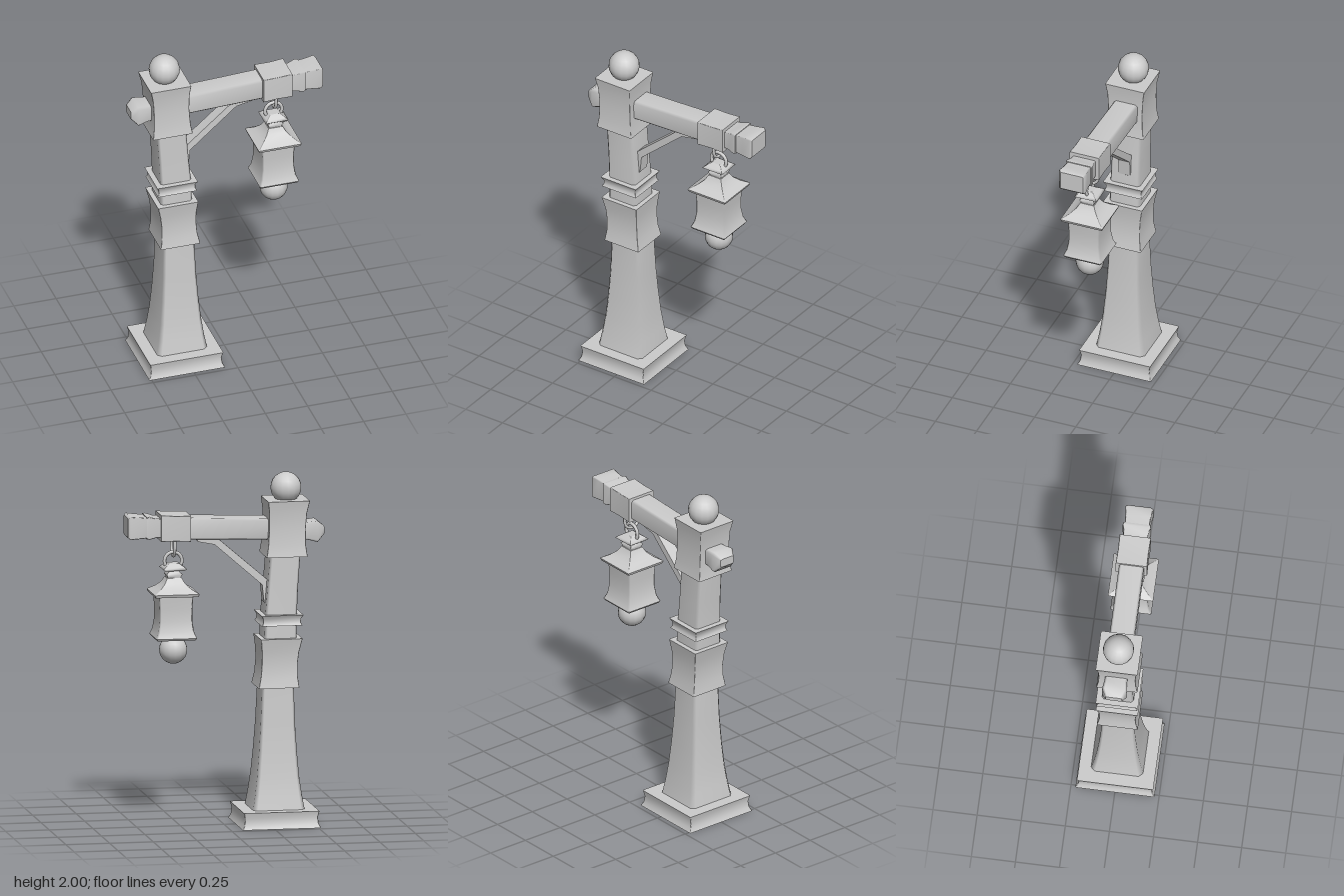
import * as THREE from 'three';

const material = new THREE.MeshStandardMaterial({ color: 0xcccccc, side: THREE.DoubleSide });

// Loft of bevelled square sections [position, centre, halfWidth, halfDepth = halfWidth].
// Runs up y with the centre in x, or along x with the centre in y.
function loftGeometry(sections, bevel, alongX) {
  const positions = [], index = [];
  const k = 1 - bevel;
  const corners = [[1, -k], [1, k], [k, 1], [-k, 1], [-1, k], [-1, -k], [-k, -1], [k, -1]];
  const n = corners.length;
  const addRing = ([u, c, ha, hb = ha]) => {
    for (const [a, b] of corners) {
      if (alongX) positions.push(u, c + a * ha, b * hb);
      else positions.push(c + a * ha, u, b * hb);
    }
  };
  const tri = (a, b, c) => (alongX ? index.push(a, c, b) : index.push(a, b, c));
  sections.forEach(addRing);
  for (let s = 0; s < sections.length - 1; s++) {
    for (let i = 0; i < n; i++) {
      const a = s * n + i, b = s * n + (i + 1) % n;
      tri(a, a + n, b);
      tri(b, a + n, b + n);
    }
  }
  // Caps on their own vertices, so their rims stay sharp
  const low = sections.length * n, high = low + n;
  addRing(sections[0]);
  addRing(sections[sections.length - 1]);
  for (let i = 1; i < n - 1; i++) {
    tri(low, low + i, low + i + 1);
    tri(high, high + i + 1, high + i);
  }
  const geometry = new THREE.BufferGeometry();
  geometry.setAttribute('position', new THREE.Float32BufferAttribute(positions, 3));
  geometry.setIndex(index);
  geometry.computeVertexNormals();
  return geometry;
}

export function createModel() {
  const model = new THREE.Group();
  model.name = 'hangingLanternPost';

  const add = (parent, name, geometry, x = 0, y = 0, z = 0) => {
    const mesh = new THREE.Mesh(geometry, material);
    mesh.name = name;
    mesh.position.set(x, y, z);
    parent.add(mesh);
    return mesh;
  };
  const group = (name) => {
    const g = new THREE.Group();
    g.name = name;
    model.add(g);
    return g;
  };

  // Post, leaning slightly to the right as it rises
  const post = group('post');
  add(post, 'base', loftGeometry([
    [0, -0.29, 0.224], [0.025, -0.29, 0.212], [0.06, -0.29, 0.208], [0.095, -0.29, 0.216],
  ], 0.02));
  add(post, 'lowerColumn', loftGeometry([
    [0.09, -0.29, 0.148], [0.18, -0.29, 0.133], [0.28, -0.29, 0.12], [0.42, -0.291, 0.108],
    [0.58, -0.292, 0.098], [0.8, -0.294, 0.09],
  ], 0.15));
  add(post, 'middleCollar', loftGeometry([
    [0.785, -0.294, 0.116], [0.85, -0.297, 0.105], [0.92, -0.3, 0.102],
    [0.99, -0.304, 0.106], [1.065, -0.309, 0.119],
  ], 0.03));
  add(post, 'upperColumn', loftGeometry([
    [1.05, -0.308, 0.092], [1.2, -0.312, 0.09], [1.35, -0.322, 0.087], [1.55, -0.337, 0.086],
  ], 0.15));
  add(post, 'thinCollar', loftGeometry([
    [1.14, -0.312, 0.116], [1.155, -0.312, 0.108], [1.178, -0.313, 0.108], [1.2, -0.313, 0.12],
  ], 0.03));
  add(post, 'headBlock', loftGeometry([
    [1.53, -0.341, 0.117], [1.59, -0.342, 0.108], [1.69, -0.345, 0.104],
    [1.78, -0.348, 0.108], [1.848, -0.352, 0.119],
  ], 0.03), 0, 0, 0.004);
  add(post, 'ballFinial', new THREE.SphereGeometry(0.088, 16, 12), -0.354, 1.912, 0);

  // Cross arm
  const arm = group('arm');
  add(arm, 'armBackEnd', loftGeometry([
    [-0.565, 1.668, 0.024, 0.046], [-0.525, 1.663, 0.06, 0.071], [-0.47, 1.667, 0.05, 0.064],
    [-0.4, 1.672, 0.05, 0.064],
  ], 0.2, true));
  add(arm, 'beam', loftGeometry([
    [-0.3, 1.684, 0.059, 0.07], [0, 1.695, 0.06, 0.07], [0.25, 1.705, 0.062, 0.07],
  ], 0.18, true));
  add(arm, 'sleeve', loftGeometry([
    [0.205, 1.706, 0.074, 0.089], [0.29, 1.709, 0.072, 0.087], [0.375, 1.712, 0.075, 0.089],
  ], 0.04, true));
  add(arm, 'armNeck', loftGeometry([
    [0.36, 1.711, 0.053, 0.068], [0.4, 1.712, 0.055, 0.07], [0.44, 1.714, 0.065, 0.08],
    [0.455, 1.714, 0.063, 0.078],
  ], 0.08, true));
  add(arm, 'armFrontEnd', loftGeometry([
    [0.45, 1.714, 0.058, 0.07], [0.5, 1.715, 0.062, 0.073], [0.55, 1.717, 0.066, 0.08],
    [0.561, 1.717, 0.055, 0.068],
  ], 0.08, true));

  // Bent brace between post and beam
  const outline = [
    [-0.24, 1.25], [-0.222, 1.265], [-0.212, 1.365], [0.06, 1.603],
    [0.155, 1.622], [0.166, 1.642], [0.05, 1.645], [-0.24, 1.395],
  ].map(([x, y]) => new THREE.Vector2(x, y));
  add(arm, 'brace', new THREE.ExtrudeGeometry(new THREE.Shape(outline), {
    depth: 0.07, bevelEnabled: false,
  }), 0, 0, -0.035);

  // Lantern, hung from two interlocking links
  const lantern = group('lantern');
  lantern.position.x = 0.291;
  const linkPath = new THREE.CatmullRomCurve3([
    [1.65, -0.05], [1.585, -0.05], [1.553, -0.034], [1.541, 0],
    [1.553, 0.034], [1.585, 0.05], [1.65, 0.05],
  ].map(([y, z]) => new THREE.Vector3(0, y, z)));
  add(lantern, 'hangingLink', new THREE.TubeGeometry(linkPath, 24, 0.009, 8));
  add(lantern, 'lanternRing', new THREE.TorusGeometry(0.05, 0.01, 8, 24), 0, 1.513, 0);
  add(lantern, 'topCap', loftGeometry([
    [1.462, 0, 0.055], [1.472, 0, 0.068], [1.483, 0, 0.055], [1.502, 0, 0.028],
  ], 0.04));
  add(lantern, 'neck', loftGeometry([
    [1.39, 0, 0.04], [1.425, 0, 0.038], [1.44, 0, 0.046], [1.455, 0, 0.03], [1.468, 0, 0.03],
  ], 0.06));
  add(lantern, 'roof', loftGeometry([
    [1.338, 0, 0.128], [1.362, 0, 0.088], [1.39, 0, 0.058], [1.42, 0, 0.042],
  ], 0.02));
  add(lantern, 'eaves', loftGeometry([[1.322, 0, 0.122], [1.338, 0, 0.128]], 0.02));
  add(lantern, 'lanternBody', loftGeometry([
    [1.085, 0, 0.116], [1.12, 0, 0.102], [1.18, 0, 0.093], [1.25, 0, 0.093], [1.33, 0, 0.099],
  ], 0.08));
  add(lantern, 'bodyRim', loftGeometry([[1.073, 0, 0.108], [1.085, 0, 0.116]], 0.03));
  add(lantern, 'lanternBall', new THREE.SphereGeometry(0.08, 16, 12), 0, 1.007, 0);

  return model;
}
